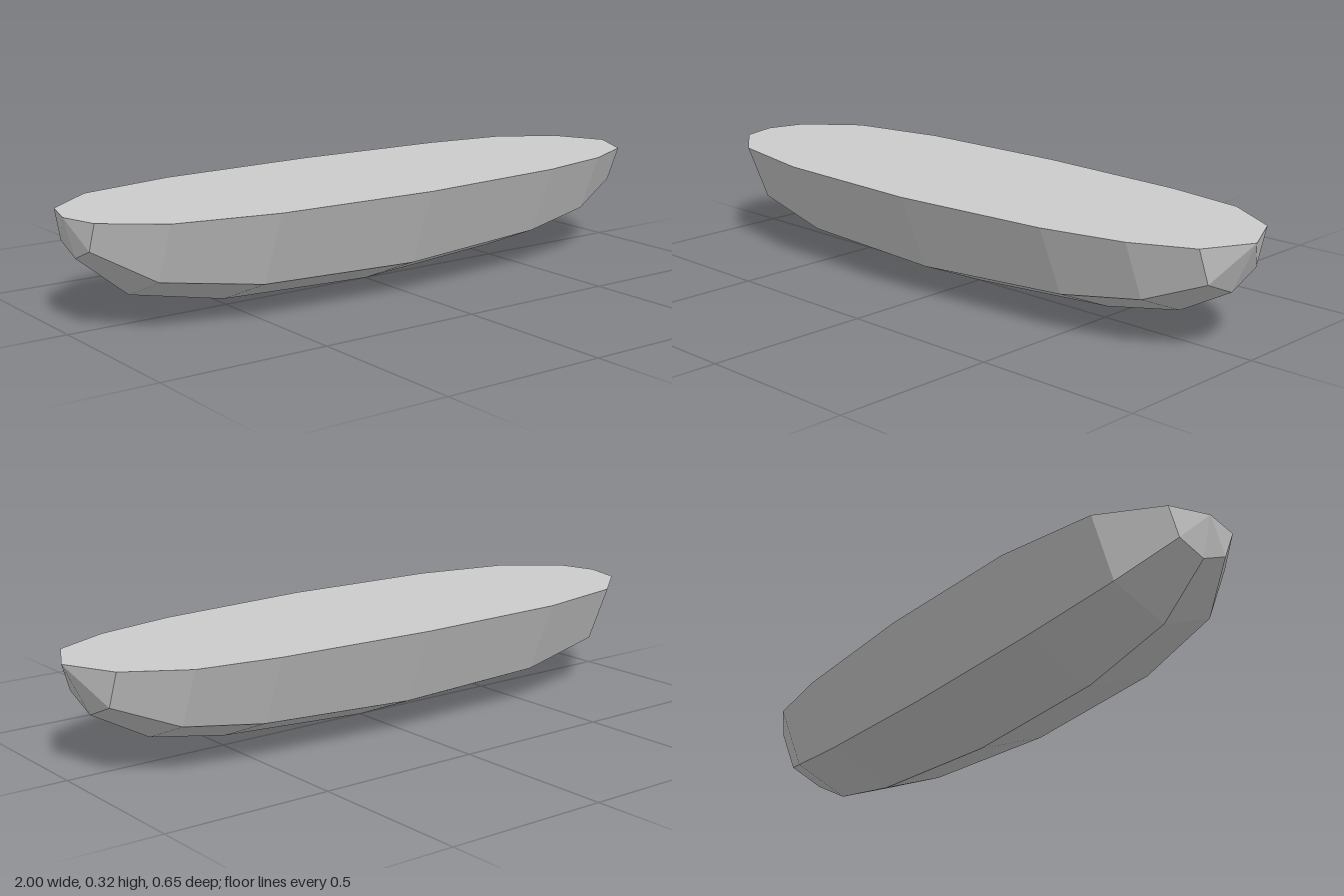
import * as THREE from 'three';

const DECK_Y = 0.324;
const SIDES = 4; // facets from rim to rim under the deck

// stations along the hull: [x, radius, sideways shift]
const STATIONS = [
  [-1, 0, 0], [-0.967, 0.118, -0.002], [-0.81, 0.245, -0.004], [-0.505, 0.307, -0.002],
  [0, 0.324, 0], [0.5, 0.293, -0.008], [0.75, 0.247, -0.016], [0.925, 0.153, -0.005], [1, 0, 0],
];

// point on the half-octagon section: j = 0 is the front rim, j = SIDES the back rim
function sectionPoint([x, r, shift], j) {
  const a = (j / SIDES) * Math.PI;
  return [x, DECK_Y - r * Math.sin(a), shift + r * Math.cos(a)];
}

// skin the strip between section corners j and k along all stations
function strip(out, j, k) {
  for (let i = 0; i < STATIONS.length - 1; i++) {
    const s = STATIONS[i], t = STATIONS[i + 1];
    const a = sectionPoint(s, j), d = sectionPoint(s, k);
    const b = sectionPoint(t, j), e = sectionPoint(t, k);
    if (s[1] > 0) out.push(...a, ...d, ...b);
    if (t[1] > 0) out.push(...b, ...d, ...e);
  }
}

function makeMesh(name, positions, material) {
  const geometry = new THREE.BufferGeometry();
  geometry.setAttribute('position', new THREE.Float32BufferAttribute(positions, 3));
  geometry.computeVertexNormals();
  const mesh = new THREE.Mesh(geometry, material);
  mesh.name = name;
  return mesh;
}

export function createModel() {
  const group = new THREE.Group();
  group.name = 'boatHull';
  const material = new THREE.MeshStandardMaterial({ color: 0xcccccc, flatShading: true });

  // faceted sides and bottom
  const hull = [];
  for (let j = 0; j < SIDES; j++) strip(hull, j, j + 1);
  group.add(makeMesh('hull', hull, material));

  // flat top closing the hull
  const deck = [];
  strip(deck, SIDES, 0);
  group.add(makeMesh('deck', deck, material));

  return group;
}
